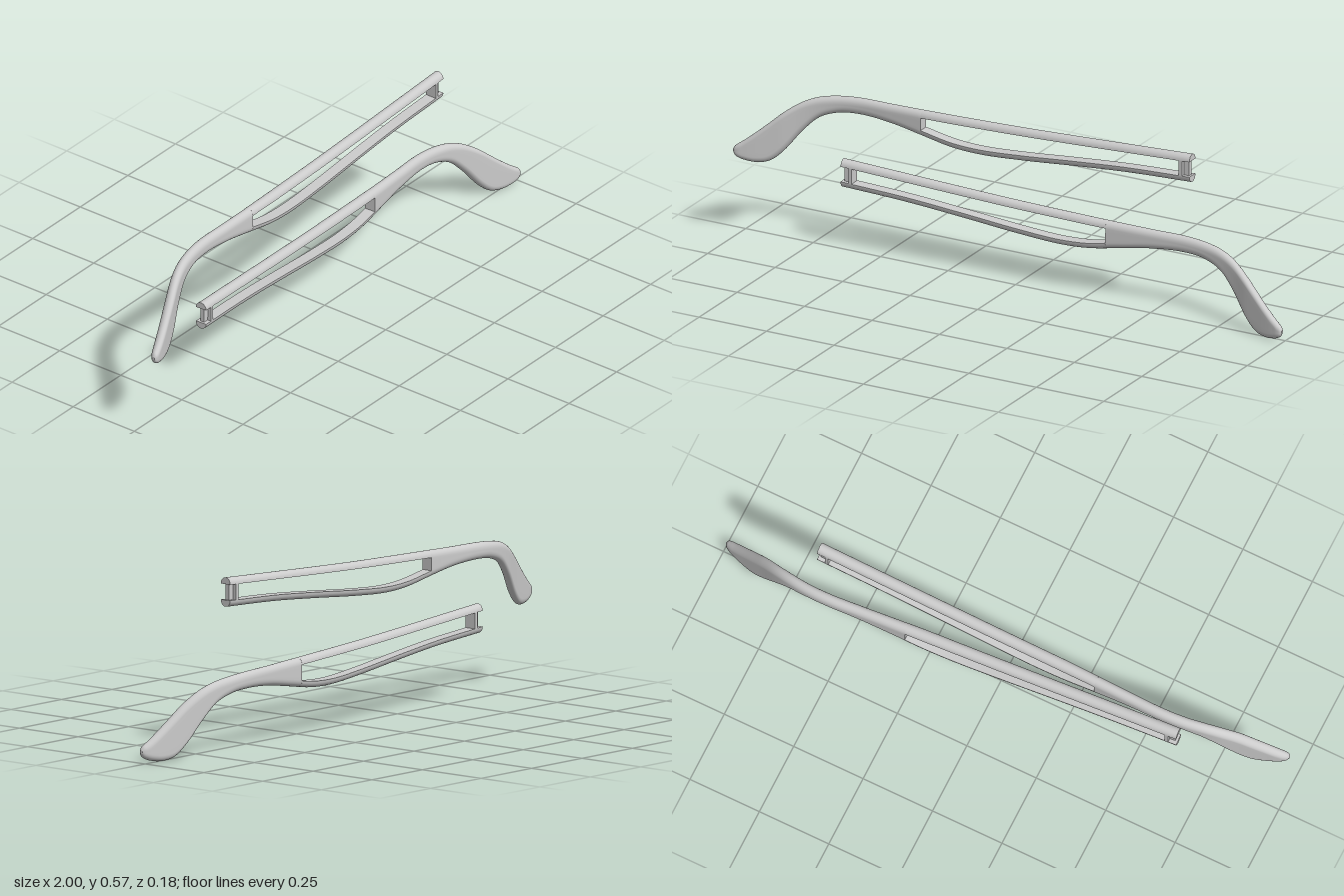
import * as THREE from 'three';

// stations along one temple, hinge to tip: u, top y, bottom y, centre z, half thickness
const STATIONS = [
  [-0.638, 0.567, 0.471, -0.031, 0.02], [-0.4, 0.555, 0.459, -0.031, 0.02],
  [-0.2, 0.545, 0.442, -0.031, 0.02], [0, 0.536, 0.423, -0.031, 0.02],
  [0.15, 0.531, 0.414, -0.031, 0.02], [0.25, 0.528, 0.419, -0.031, 0.02],
  [0.36, 0.525, 0.438, -0.032, 0.019], [0.48, 0.522, 0.458, -0.034, 0.018],
  [0.6, 0.52, 0.465, -0.035, 0.018], [0.675, 0.514, 0.457, -0.028, 0.018],
  [0.74, 0.502, 0.43, -0.014, 0.018], [0.79, 0.481, 0.38, 0.002, 0.018],
  [0.847, 0.441, 0.307, 0.025, 0.018], [0.885, 0.407, 0.274, 0.039, 0.0175],
  [0.926, 0.371, 0.265, 0.054, 0.017], [0.964, 0.34, 0.27, 0.067, 0.016],
  [0.985, 0.325, 0.278, 0.074, 0.014], [0.995, 0.317, 0.286, 0.077, 0.01],
  [1, 0.308, 0.296, 0.078, 0.005],
];
const HINGE = -0.638;
const BAR = 0.022;     // height of the rails around the window

const profile = new THREE.CubicInterpolant(
  STATIONS.map((s) => s[0]), STATIONS.flatMap((s) => s.slice(1)), 4);

// closed section of [y, z] points; flat ends double their corners to stay sharp
function section(top, bottom, z, w, domeTop, domeBottom) {
  const pts = [];
  const d = Math.min(w * 1.2, (top - bottom) * (domeTop && domeBottom ? 0.49 : 0.97));
  const end = (side, y, dome) => {
    if (!dome) {
      for (const s of [side, side, -side, -side]) pts.push([y, z + s * w]);
      return;
    }
    for (let i = 0; i <= 12; i++) {
      const a = (Math.PI * i) / 12;
      pts.push([y + side * d * (Math.sin(a) - 1), z + side * w * Math.cos(a)]);
    }
  };
  const yTop = domeTop ? top - d : top, yBottom = domeBottom ? bottom + d : bottom;
  const wall = (from, to, pz) => {
    for (const t of [0.25, 0.5, 0.75]) pts.push([from + (to - from) * t, pz]);
  };
  end(1, top, domeTop);
  wall(yTop, yBottom, z - w);
  end(-1, bottom, domeBottom);
  wall(yBottom, yTop, z + w);
  return pts;
}

// lofted solid from u0 to u1, dir = -1 mirrors it along x
function loft(name, dir, u0, u1, steps, material, o) {
  const pos = [], idx = [];
  let ring, m;
  const tri = (a, b, c) => (dir > 0 ? idx.push(a, c, b) : idx.push(a, b, c));
  for (let i = 0; i <= steps; i++) {
    const t = i / steps;
    const u = u0 + (u1 - u0) * (o.easeEnd ? Math.sin((t * Math.PI) / 2) : t);
    const [top, bottom, z, w] = profile.evaluate(u);
    const hi = { windowTop: top - BAR, windowBottom: bottom + BAR }[o.from] ?? top;
    const lo = { windowTop: top - BAR, windowBottom: bottom + BAR }[o.to] ?? bottom;
    ring = section(hi, lo, z, w * (o.width ?? 1), o.domeTop, o.domeBottom);
    m = ring.length;
    for (const [y, pz] of ring) pos.push(dir * u, y, pz);
  }
  const doubled = ring.map((p, j) => {
    const q = ring[(j + 1) % m];
    return p[0] === q[0] && p[1] === q[1];
  });
  for (let i = 0; i < steps; i++) {
    for (let j = 0; j < m; j++) {
      if (doubled[j]) continue;
      const a = i * m + j, b = i * m + ((j + 1) % m);
      tri(a, b, b + m);
      tri(a, b + m, a + m);
    }
  }
  // end caps with their own corners, for a sharp rim
  for (const end of [0, steps]) {
    const rim = pos.slice(end * m * 3, (end + 1) * m * 3);
    const s = pos.length / 3, c = s + m;
    const mid = [0, 0, 0];
    rim.forEach((v, k) => { mid[k % 3] += v / m; });
    pos.push(...rim, ...mid);
    for (let j = 0; j < m; j++) {
      if (doubled[j]) continue;
      const a = s + j, b = s + ((j + 1) % m);
      if (end) tri(c, a, b); else tri(c, b, a);
    }
  }
  const g = new THREE.BufferGeometry();
  g.setAttribute('position', new THREE.Float32BufferAttribute(pos, 3));
  g.setIndex(idx);
  g.computeVertexNormals();
  const mesh = new THREE.Mesh(g, material);
  mesh.name = name;
  return mesh;
}

function createTemple(name, dir, windowEnd, material) {
  const temple = new THREE.Group();
  temple.name = name;
  const add = (part, u0, u1, steps, options) =>
    temple.add(loft(part, dir, u0, u1, steps, material, options));
  // rails above and below the window
  add('upperRail', HINGE, windowEnd, 40, { to: 'windowTop', domeTop: true });
  add('lowerRail', HINGE, windowEnd, 40, { from: 'windowBottom', domeBottom: true });
  // solid arm with the bent ear paddle
  add('earPiece', windowEnd, 1, 80, { domeTop: true, domeBottom: true, easeEnd: true });
  // recessed wall and thin rib at the hinge end
  const inner = { from: 'windowTop', to: 'windowBottom' };
  add('hingeWall', -0.61, -0.598, 1, inner);
  add('hingeRib', -0.63, -0.609, 1, { ...inner, width: 0.35 });
  return temple;
}

export function createModel() {
  const model = new THREE.Group();
  model.name = 'glassesTemples';
  const material = new THREE.MeshStandardMaterial({ color: 0xcccccc });
  const upper = createTemple('upperTemple', -1, 0.36, material);
  const lower = createTemple('lowerTemple', 1, 0.316, material);
  lower.position.set(-0.006, -0.2595, -0.008);
  lower.rotation.set(0, 0.052, -0.006);
  model.add(upper, lower);
  return model;
}
